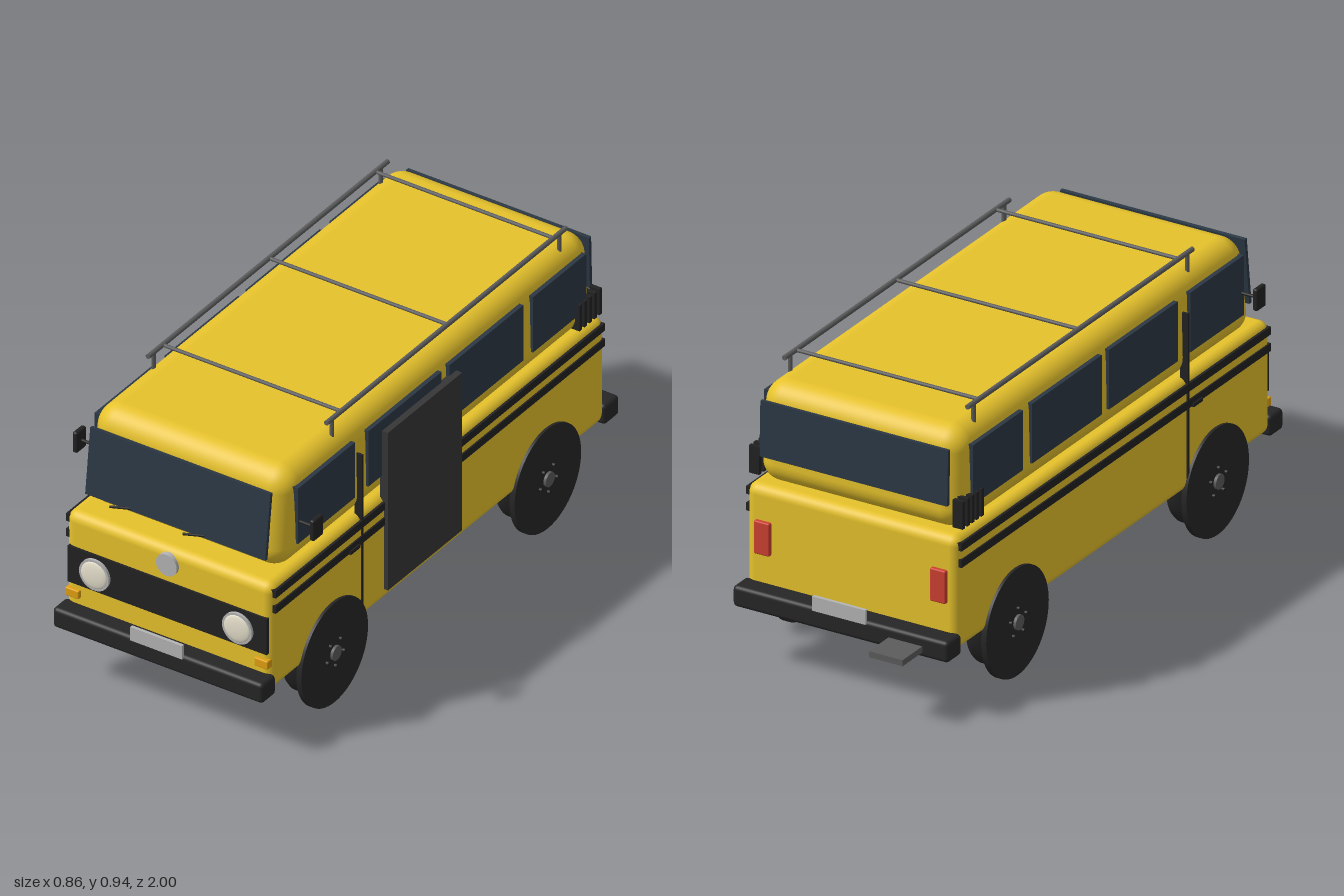
import * as THREE from 'three';
import { RoundedBoxGeometry } from 'three/addons/geometries/RoundedBoxGeometry.js';

const mat = (color) => new THREE.MeshStandardMaterial({ color });
const M = {
  paint: mat(0xe6c22c), black: mat(0x222222), rubber: mat(0x262626), glass: mat(0x2c3844),
  door: mat(0x363636), steel: mat(0x5c5c5c), chrome: mat(0xb4b4b4), lens: mat(0xe6e0cc),
  amber: mat(0xe0a010), red: mat(0xcc4030),
};

export function createModel() {
  const van = new THREE.Group();
  van.name = 'van';

  const add = (name, geometry, material, x = 0, y = 0, z = 0, parent = van) => {
    const mesh = new THREE.Mesh(geometry, material);
    mesh.name = name;
    mesh.position.set(x, y, z);
    parent.add(mesh);
    return mesh;
  };
  // Box given by its limits on each axis; r rounds the edges
  const box = (name, material, [x0, x1], [y0, y1], [z0, z1], r = 0) => {
    const size = [x1 - x0, y1 - y0, z1 - z0];
    const g = r ? new RoundedBoxGeometry(...size, 5, r) : new THREE.BoxGeometry(...size);
    return add(name, g, material, (x0 + x1) / 2, (y0 + y1) / 2, (z0 + z1) / 2);
  };
  // Same box on both sides, x measured outwards
  const pair = (name, material, [x0, x1], y, z, r) => {
    box(name + 'Left', material, [x0, x1], y, z, r);
    box(name + 'Right', material, [-x1, -x0], y, z, r);
  };
  // Round bar between two points
  const bar = (name, material, a, b, radius) => {
    const p = new THREE.Vector3(...a), q = new THREE.Vector3(...b);
    const mesh = add(name, new THREE.CylinderGeometry(radius, radius, p.distanceTo(q), 10), material);
    mesh.position.copy(p).add(q).multiplyScalar(0.5);
    mesh.quaternion.setFromUnitVectors(new THREE.Vector3(0, 1, 0), q.sub(p).normalize());
    return mesh;
  };
  // Disc facing forwards
  const disc = (name, material, r, depth, x, y, z) => {
    const g = new THREE.CylinderGeometry(r, r, depth, 40).rotateX(Math.PI / 2);
    return add(name, g, material, x, y, z);
  };

  // Lower body
  box('lowerBody', M.paint, [-0.368, 0.368], [0.208, 0.578], [-0.825, 0.93], 0.032);

  // Cabin, leaning inwards towards the roof
  const cabin = new RoundedBoxGeometry(0.712, 0.322, 1.67, 8, 0.07);
  const p = cabin.attributes.position;
  for (let i = 0; i < p.count; i++) {
    const t = p.getY(i) / 0.322 + 0.5;
    p.setX(i, p.getX(i) * (1 - 0.02 * t));
    p.setZ(i, p.getZ(i) - (p.getZ(i) > 0 ? 0.045 : -0.02) * t);
  }
  add('cabin', cabin, M.paint, 0, 0.735, 0.033);

  // Windscreen and rear window
  const screen = add('windscreen', new THREE.BoxGeometry(0.64, 0.222, 0.012), M.glass, 0, 0.745, 0.876);
  screen.rotation.x = -0.12;
  const rear = add('rearWindow', new THREE.BoxGeometry(0.65, 0.18, 0.012), M.glass, 0, 0.76, -0.807);
  rear.rotation.x = 0.03;

  // Side windows
  for (const z of [[0.485, 0.785], [0.03, 0.415], [-0.4, -0.01], [-0.73, -0.45]])
    pair('sideWindow', M.glass, [0.335, 0.362], [0.65, 0.845], z);

  // Stripes, front door seams and handles
  for (const y of [0.493, 0.547]) pair('stripe', M.black, [0.35, 0.373], [y - 0.013, y + 0.013], [-0.812, 0.918]);
  pair('doorSeam', M.black, [0.345, 0.372], [0.215, 0.79], [0.455, 0.463]);
  pair('doorHandle', M.black, [0.36, 0.378], [0.477, 0.489], [0.48, 0.53]);

  // Sliding door panel on the left side
  box('slidingDoor', M.door, [0.355, 0.383], [0.252, 0.808], [-0.047, 0.343]);

  // Rear air vents
  for (let i = 0; i < 5; i++) {
    const z = -0.69 - i * 0.026;
    pair('vent', M.black, [0.335, 0.37], [0.6, 0.69], [z - 0.007, z + 0.007]);
  }

  // Front face
  box('grille', M.black, [-0.354, 0.354], [0.338, 0.464], [0.9, 0.938]);
  disc('badge', M.chrome, 0.037, 0.03, 0, 0.527, 0.927);
  for (const s of [-1, 1]) {
    disc('headlightRim', M.chrome, 0.053, 0.03, s * 0.254, 0.4, 0.932);
    const lens = add('headlightLens', new THREE.SphereGeometry(0.046, 32, 16), M.lens, s * 0.254, 0.4, 0.946);
    lens.scale.z = 0.17;
  }
  pair('indicator', M.amber, [0.312, 0.36], [0.289, 0.318], [0.91, 0.942], 0.004);

  // Wipers
  for (const x of [-0.22, 0.04])
    bar('wiper', M.black, [x, 0.638, 0.915], [x + 0.078, 0.641, 0.885], 0.004);

  // Bumpers, plates, tail lights and rear step
  box('frontBumper', M.rubber, [-0.374, 0.374], [0.197, 0.266], [0.915, 0.99], 0.014);
  box('rearBumper', M.rubber, [-0.374, 0.374], [0.197, 0.266], [-0.89, -0.81], 0.014);
  box('frontPlate', M.chrome, [-0.092, 0.092], [0.258, 0.305], [0.985, 0.996]);
  box('rearPlate', M.chrome, [-0.092, 0.092], [0.258, 0.305], [-0.897, -0.886]);
  pair('tailLight', M.red, [0.278, 0.332], [0.36, 0.468], [-0.838, -0.81], 0.005);
  box('rearStep', M.steel, [-0.285, -0.168], [0.214, 0.234], [-1, -0.86]);

  // Mirrors
  for (const s of [-1, 1])
    bar('mirrorArm', M.black, [s * 0.34, 0.725, 0.775], [s * 0.418, 0.725, 0.775], 0.005);
  pair('mirror', M.black, [0.412, 0.43], [0.69, 0.762], [0.75, 0.802], 0.007);

  // Wheels: tyre behind a larger outer disc, with hub and bolts
  const tyreProfile = [[0, -0.045], [0.125, -0.045], [0.138, -0.041], [0.144, -0.03], [0.145, 0.045], [0, 0.045]]
    .map(([r, h]) => new THREE.Vector2(r, h));
  const tyre = new THREE.LatheGeometry(tyreProfile, 48);
  for (const s of [-1, 1]) for (const z of [0.614, -0.506]) {
    const wheel = new THREE.Group();
    wheel.name = 'wheel';
    wheel.position.set(s * 0.325, 0.18, z);
    wheel.rotation.z = -s * Math.PI / 2; // local y points outwards
    van.add(wheel);
    add('tyre', tyre, M.rubber, 0, 0, 0, wheel);
    add('wheelDisc', new THREE.CylinderGeometry(0.175, 0.175, 0.018, 64), M.rubber, 0, 0.043, 0, wheel);
    add('hub', new THREE.CylinderGeometry(0.024, 0.024, 0.012, 24), M.steel, 0, 0.055, 0, wheel);
    for (let i = 0; i < 5; i++) {
      const a = i * Math.PI * 0.4;
      add('bolt', new THREE.CylinderGeometry(0.006, 0.006, 0.012, 8), M.black,
        Math.cos(a) * 0.045, 0.055, Math.sin(a) * 0.045, wheel);
    }
  }

  // Roof rack
  for (const s of [-1, 1]) {
    const x = s * 0.317;
    bar('rackRail', M.steel, [x, 0.942, 0.57], [x, 0.942, -0.69], 0.008);
    for (const z of [0.54, -0.655]) bar('rackPost', M.steel, [x, 0.86, z], [x, 0.942, z], 0.007);
  }
  for (const z of [0.492, -0.067, -0.625])
    bar('rackCrossbar', M.steel, [-0.317, 0.942, z], [0.317, 0.942, z], 0.006);

  return van;
}
